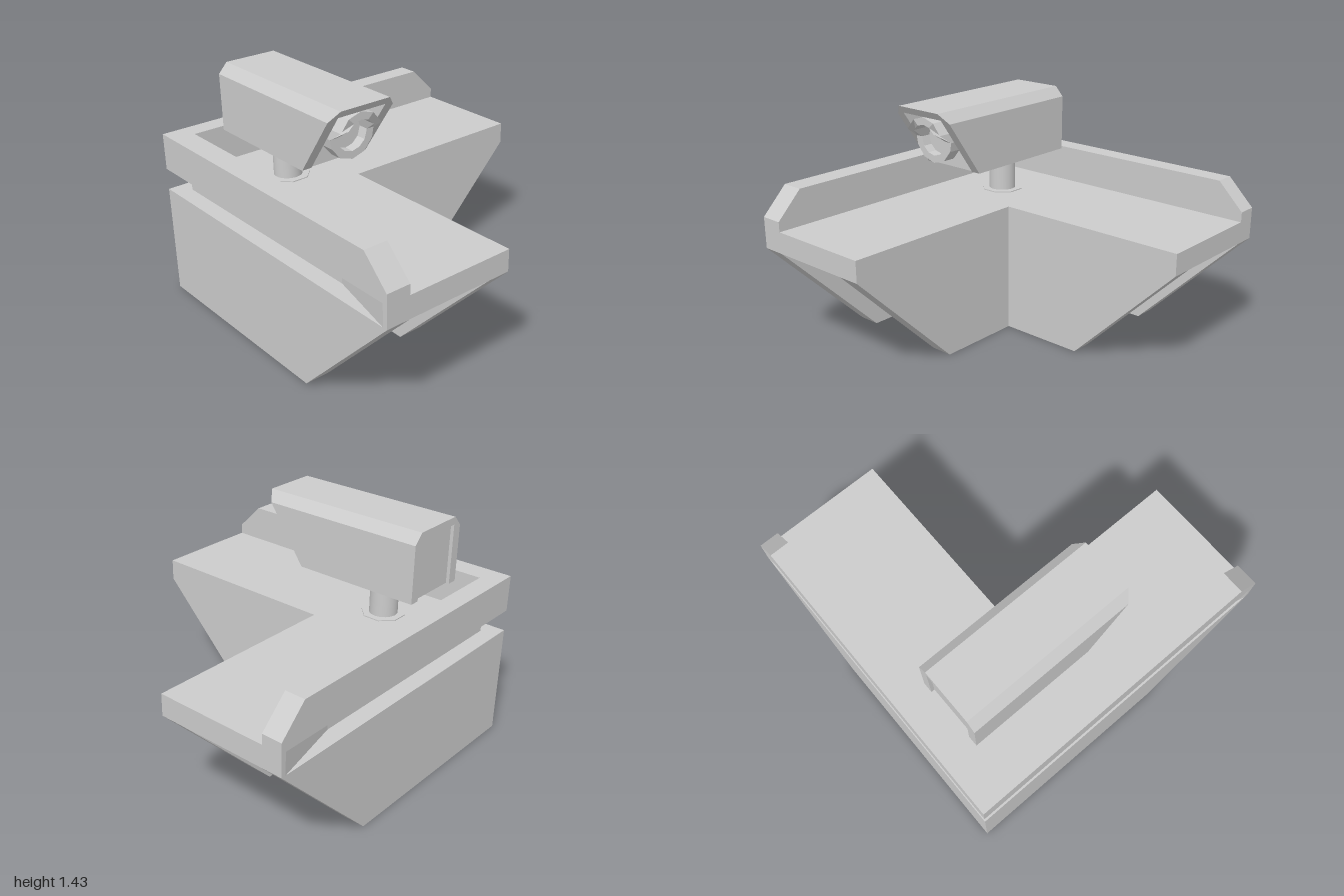
import * as THREE from 'three';

const material = new THREE.MeshStandardMaterial({ color: 0xcccccc, flatShading: true, side: THREE.DoubleSide });
const smooth = new THREE.MeshStandardMaterial({ color: 0xcccccc });

const toShape = (pts) => new THREE.Shape(pts.map(([x, y]) => new THREE.Vector2(x, y)));
const extrude = (shape, depth) => new THREE.ExtrudeGeometry(shape, { depth, bevelEnabled: false });

function add(parent, name, geometry, x = 0, y = 0, z = 0, mat = material) {
  const mesh = new THREE.Mesh(geometry, mat);
  mesh.name = name;
  mesh.position.set(x, y, z);
  parent.add(mesh);
  return mesh;
}

// Moves the far end of an extrusion (local z) to a depth that depends on y
function trimEnd(geometry, depthAt) {
  const p = geometry.attributes.position;
  for (let i = 0; i < p.count; i++) if (p.getZ(i) > 1e-4) p.setZ(i, depthAt(p.getY(i)));
  geometry.computeVertexNormals();
  return geometry;
}

// Wall profiles: u runs from the corner along an arm
const lowerProfile = (start) => toShape([[start, 0], [0.33, 0], [1, 0.67], [start, 0.67]]);
const parapetProfile = (start) => toShape([[start, 0.8], [1, 0.8], [1, 0.86], [0.84, 1.02], [start, 1.02]]);

function createLedge() {
  const ledge = new THREE.Group();
  ledge.name = 'cornerLedge';

  // L-shaped deck, set back at the outer edge to leave a tapering groove
  const half = [[1, 0.2], [1, 1], [0.97, 1], [0.54, 0.9], [-0.9, 0.9]];
  const mirrored = half.slice(0, 4).reverse().map(([x, z]) => [-z, -x]);
  const outline = [...half, ...mirrored, [-0.2, 0.2]];
  const deck = extrude(toShape(outline.map(([x, z]) => [x, -z])), 0.13).rotateX(-Math.PI / 2);
  add(ledge, 'deck', deck, 0, 0.67, 0);

  // Walls of the front arm
  add(ledge, 'frontOuterWall', extrude(lowerProfile(-1), 0.14), 0, 0, 0.86);
  add(ledge, 'frontInnerWall', extrude(lowerProfile(-0.34), 0.14), 0, 0, 0.2);
  add(ledge, 'frontParapet', extrude(parapetProfile(-1), 0.14), 0, 0, 0.86);

  // Walls of the side arm
  const side = (shape, t) => extrude(shape, t).rotateY(Math.PI / 2);
  add(ledge, 'sideOuterWall', side(lowerProfile(-0.86), 0.13), -1);
  add(ledge, 'sideInnerWall', side(lowerProfile(-0.2), 0.13), -0.33);
  add(ledge, 'sideParapet', side(parapetProfile(-0.86), 0.12), -1);
  return ledge;
}

// Ring outline made from the angles of one quarter, in degrees
function ringPoints(radius, quarter) {
  const rest = quarter.slice(1, -1).reverse();
  const top = [...quarter, ...rest.map((a) => 180 - a)];
  return [...top, ...top.map((a) => a + 180)].map((a) => {
    const t = THREE.MathUtils.degToRad(a);
    return [radius * Math.cos(t), radius * Math.sin(t)];
  });
}

function createCamera() {
  const camera = new THREE.Group();
  camera.name = 'securityCamera';
  const cz = 0.495;

  // Mounting plate and post
  add(camera, 'mountPlate', new THREE.CylinderGeometry(0.13, 0.13, 0.006, 8).rotateY(Math.PI / 8), -0.475, 0.803, 0.5);
  add(camera, 'post', new THREE.CylinderGeometry(0.083, 0.083, 0.25, 32), -0.475, 0.925, 0.5, smooth);

  // Inverted-U cover with a slanted front end
  const section = toShape([
    [-0.215, 0], [-0.215, 0.34], [-0.16, 0.4], [0.16, 0.4], [0.215, 0.34], [0.215, 0],
    [0.155, 0], [0.155, 0.355], [-0.155, 0.355], [-0.155, 0],
  ]);
  const cover = trimEnd(extrude(section, 1), (y) => 0.775 + y * 0.7);
  add(camera, 'cover', cover.rotateY(Math.PI / 2), -0.805, 1.03, cz);

  // Body inside the cover
  add(camera, 'body', new THREE.BoxGeometry(0.745, 0.355, 0.31), -0.4125, 1.2075, cz);

  // Lens barrel, and hood whose upper half reaches further forward
  const barrel = new THREE.CylinderGeometry(0.1, 0.1, 0.12, 12).rotateZ(-Math.PI / 2);
  add(camera, 'lensBarrel', barrel, 0.01, 1.235, cz);
  const ring = toShape(ringPoints(0.145, [0, 22.3, 56, 90]));
  ring.holes.push(toShape(ringPoints(0.1, [0, 33.4, 62, 90])));
  const hood = trimEnd(extrude(ring, 1), (y) => 0.08 + 0.08 * THREE.MathUtils.clamp(y / 0.055, 0, 1));
  add(camera, 'lensHood', hood.rotateY(Math.PI / 2), 0.05, 1.235, cz);
  return camera;
}

export function createModel() {
  const model = new THREE.Group();
  model.name = 'ledgeWithCamera';
  model.add(createLedge(), createCamera());
  return model;
}
